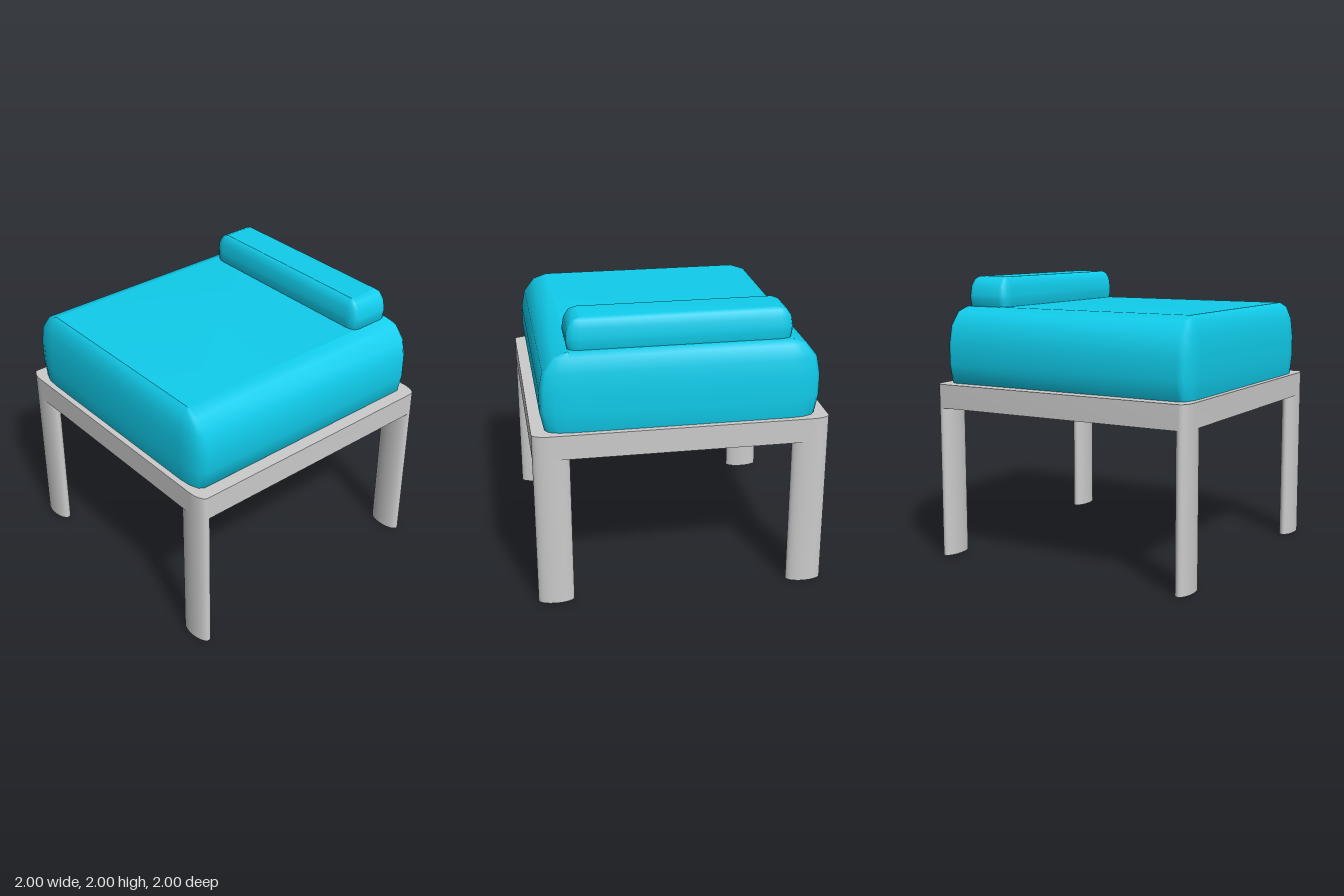
import * as THREE from 'three';
import { toCreasedNormals } from 'three/addons/utils/BufferGeometryUtils.js';

const grey = new THREE.MeshStandardMaterial({ color: 0xcccccc });
const blue = new THREE.MeshStandardMaterial({ color: 0x10cdec });

function addMesh(group, name, geometry, material, x = 0, y = 0, z = 0) {
  const mesh = new THREE.Mesh(geometry, material);
  mesh.name = name;
  mesh.position.set(x, y, z);
  group.add(mesh);
  return mesh;
}

// Box with elliptical rounding, stacked from rounded-rectangle rings; half sizes and radii per axis
function cushionGeometry(hx, hy, hz, rx, ry, rz, steps = 3) {
  const positions = [], index = [];
  const perRing = 4 * (steps + 1), rings = 2 * (steps + 1);
  for (let r = 0; r < rings; r++) {
    const upper = r > steps;
    const phi = (upper ? r - steps - 1 : r - steps) / steps * Math.PI / 2;
    const y = (upper ? 1 : -1) * (hy - ry) + ry * Math.sin(phi);
    const spread = Math.abs(Math.cos(phi));
    for (let corner = 0; corner < 4; corner++) {
      const sx = corner === 0 || corner === 3 ? 1 : -1;
      const sz = corner < 2 ? 1 : -1;
      for (let s = 0; s <= steps; s++) {
        const a = (corner + s / steps) * Math.PI / 2;
        positions.push(
          sx * (hx - rx) + rx * spread * Math.cos(a), y,
          sz * (hz - rz) + rz * spread * Math.sin(a));
      }
    }
  }
  for (let r = 0; r < rings - 1; r++) {
    for (let i = 0; i < perRing; i++) {
      const j = (i + 1) % perRing;
      const a = r * perRing + i, b = r * perRing + j;
      const c = b + perRing, d = a + perRing;
      index.push(a, d, c, a, c, b);
    }
  }
  // Flat caps
  const top = (rings - 1) * perRing;
  for (let i = 1; i < perRing - 1; i++) {
    index.push(0, i, i + 1, top, top + i + 1, top + i);
  }
  const geometry = new THREE.BufferGeometry();
  geometry.setAttribute('position', new THREE.Float32BufferAttribute(positions, 3));
  geometry.setIndex(index);
  geometry.computeVertexNormals();
  return geometry;
}

export function createModel() {
  const model = new THREE.Group();
  model.name = 'cushionedStool';

  const legRx = 0.124, legRz = 0.054;
  const legX = 1 - legRx, legZ = 1 - legRz;
  const frameBottom = 1.08, frameTop = 1.25;

  // Frame slab whose corners follow the oval legs
  const outline = new THREE.Shape();
  [[1, 1], [-1, 1], [-1, -1], [1, -1]].forEach(([sx, sz], i) => {
    outline.absellipse(sx * legX, sz * legZ, legRx, legRz, i * Math.PI / 2, (i + 1) * Math.PI / 2, false);
  });
  outline.closePath();
  const slab = new THREE.ExtrudeGeometry(outline, {
    depth: frameTop - frameBottom, bevelEnabled: false, curveSegments: 10,
  });
  slab.rotateX(-Math.PI / 2);
  addMesh(model, 'frame', toCreasedNormals(slab, 0.8), grey, 0, frameBottom, 0);

  // Four oval legs
  const legGeometry = new THREE.CylinderGeometry(1, 1, frameBottom, 40);
  legGeometry.scale(legRx, 1, legRz);
  for (const sx of [-1, 1]) {
    for (const sz of [-1, 1]) {
      const name = (sz > 0 ? 'front' : 'back') + (sx > 0 ? 'Left' : 'Right') + 'Leg';
      addMesh(model, name, legGeometry, grey, sx * legX, frameBottom / 2, sz * legZ);
    }
  }

  // Thick seat cushion, sunk into the frame, and the bolster sunk into the cushion
  addMesh(model, 'seatCushion', cushionGeometry(0.937, 0.33, 0.97, 0.2, 0.255, 0.075), blue, 0, 1.46, 0);
  addMesh(model, 'bolster', cushionGeometry(0.75, 0.145, 0.165, 0.09, 0.13, 0.05), blue, 0, 1.855, -0.729);

  return model;
}
